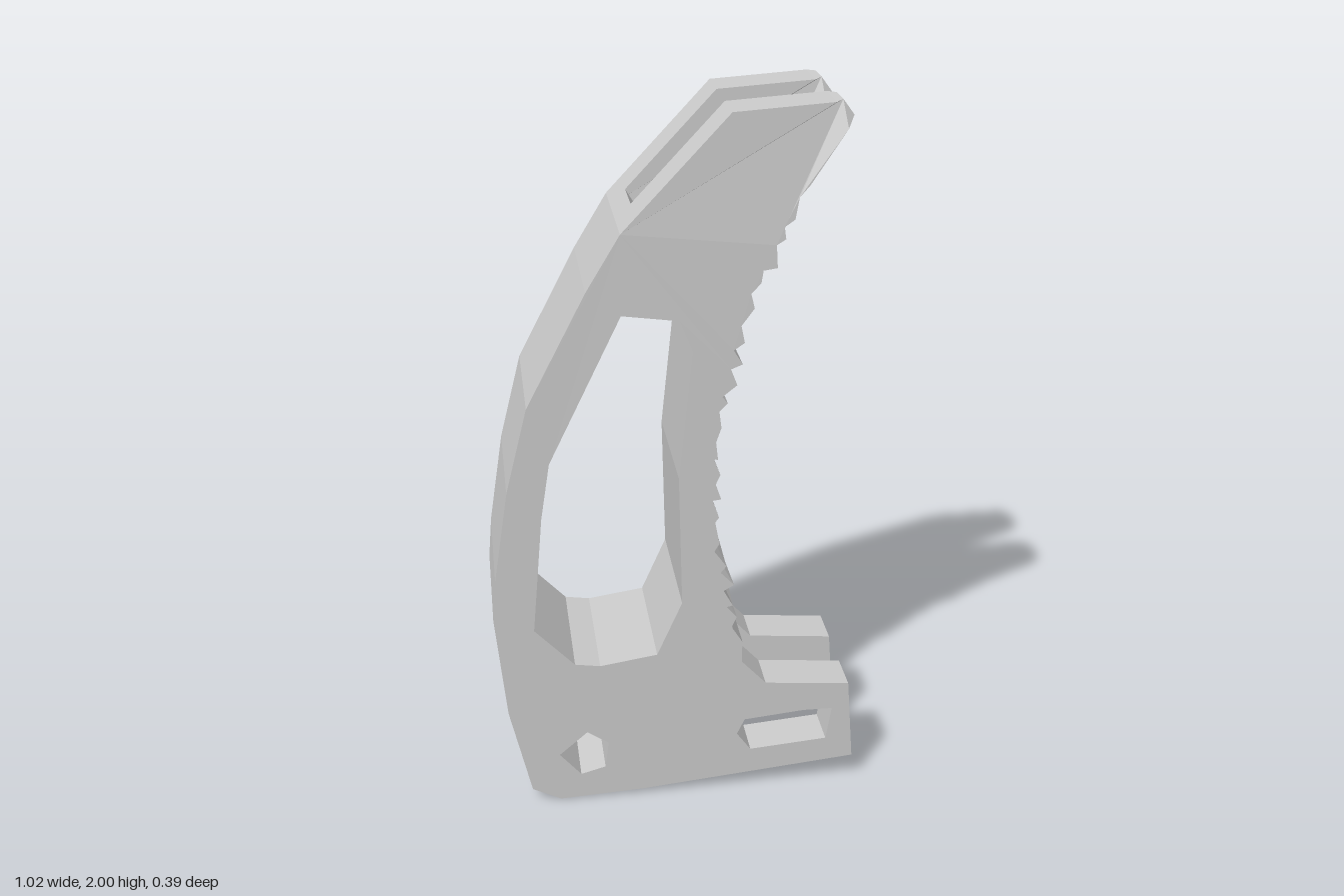
import * as THREE from 'three';

const HALF = 0.195; // half thickness of the body
const SLOT = 0.07; // half width of the slots between the cheeks

const material = new THREE.MeshStandardMaterial({ color: 0xcccccc, flatShading: true });

// Curve of the gripping edge, as [y, x] from the top down
const gripLine = [[1.76, 0.31], [1.6, 0.235], [1.47, 0.18], [1.36, 0.145], [1.2, 0.12],
  [1.05, 0.1], [0.85, 0.1], [0.7, 0.12], [0.6, 0.14], [0.46, 0.18]];

function gripX(y) {
  for (let i = 1; i < gripLine.length; i++) {
    const [y0, x0] = gripLine[i - 1], [y1, x1] = gripLine[i];
    if (y >= y1) return x0 + (x1 - x0) * (y0 - y) / (y0 - y1);
  }
  return 0.18;
}

// Repeatable irregularity in -1..1
const wobble = (i) => Math.sin(i * 12.9 + 1.7 * Math.sin(i * 5.3));

// Teeth: each slopes outward going down and ends in a short ledge
const teeth = [];
const TEETH = 20;
for (let i = 0; i < TEETH; i++) {
  const y = 1.76 - i * 0.065;
  const yTip = y - 0.045 + 0.007 * wobble(i);
  teeth.push([gripX(y) - 0.006, y]);
  teeth.push([gripX(yTip) + 0.014 + 0.008 * wobble(i + 40), yTip]);
}

const tip = [[0.41, 2.0], [0.44, 1.96]];
const backEdge = [[-0.1, 0.015], [-0.34, 0], [-0.42, 0.04], [-0.48, 0.3], [-0.51, 0.6],
  [-0.5, 0.72], [-0.46, 0.98], [-0.4, 1.22], [-0.24, 1.53], [-0.15, 1.68]];

const cheekOutline = [[0.13, 1.98], [0.39, 1.998], ...tip, [0.422, 1.93], [0.33, 1.79], ...teeth,
  [0.18, 0.46], [0.18, 0.42], [0.25, 0.345], [0.49, 0.325], [0.51, 0.08], ...backEdge];
const coreOutline = [[-0.11, 1.7229], [0.145, 1.31], ...teeth.filter((p) => p[1] < 1.3),
  [0.18, 0.46], [0.18, 0.42], [0.18, 0.047], ...backEdge];

// Openings, wound against the outlines so that their walls face inward
const gripWindow = [[-0.345, 1.06], [-0.37, 0.9], [-0.4, 0.56], [-0.29, 0.445], [-0.22, 0.435],
  [-0.06, 0.46], [0.01, 0.62], [0, 1.0], [0.035, 1.36], [0, 1.445], [-0.15, 1.465]];
const pivotHole = [[-0.28, 0.08], [-0.21, 0.1], [-0.2, 0.18], [-0.26, 0.22], [-0.34, 0.15]];
const prongHole = [[0.21, 0.125], [0.43, 0.145], [0.445, 0.245], [0.2, 0.245], [0.17, 0.18]];

const toPoints = (list) => list.map(([x, y]) => new THREE.Vector2(x, y));
const near = (list, x, y) => list.findIndex((p) => Math.hypot(p[0] - x, p[1] - y) < 1e-4);

// Extrudes an outline between two depths, then skews the teeth and narrows the tips
function slab(name, outline, holes, z0, z1) {
  const shape = new THREE.Shape(toPoints(outline));
  shape.holes = holes.map((h) => new THREE.Path(toPoints(h)));
  const geometry = new THREE.ExtrudeGeometry(shape, { depth: z1 - z0, bevelEnabled: false });
  geometry.translate(0, 0, z0);
  const pos = geometry.attributes.position;
  const middle = (z0 + z1) / 2;
  for (let i = 0; i < pos.count; i++) {
    const x = pos.getX(i), y = pos.getY(i), z = pos.getZ(i);
    const tooth = near(teeth, x, y);
    if (tooth > 0 && tooth < teeth.length - 1) {
      pos.setY(i, y + z * 0.07 * wobble(tooth));
      pos.setX(i, x + z * 0.03 * wobble(tooth + 90));
    }
    if (near(tip, x, y) >= 0) pos.setZ(i, z - Math.sign(z - middle) * 0.024);
  }
  geometry.computeVertexNormals();
  const mesh = new THREE.Mesh(geometry, material);
  mesh.name = name;
  return mesh;
}

export function createModel() {
  const group = new THREE.Group();
  group.name = 'toothedHandle';
  const cheekHoles = [gripWindow, pivotHole, prongHole];
  group.add(
    slab('frontCheek', cheekOutline, cheekHoles, SLOT, HALF),
    slab('backCheek', cheekOutline, cheekHoles, -HALF, -SLOT),
    slab('core', coreOutline, [gripWindow, pivotHole], -SLOT, SLOT),
  );
  return group;
}
